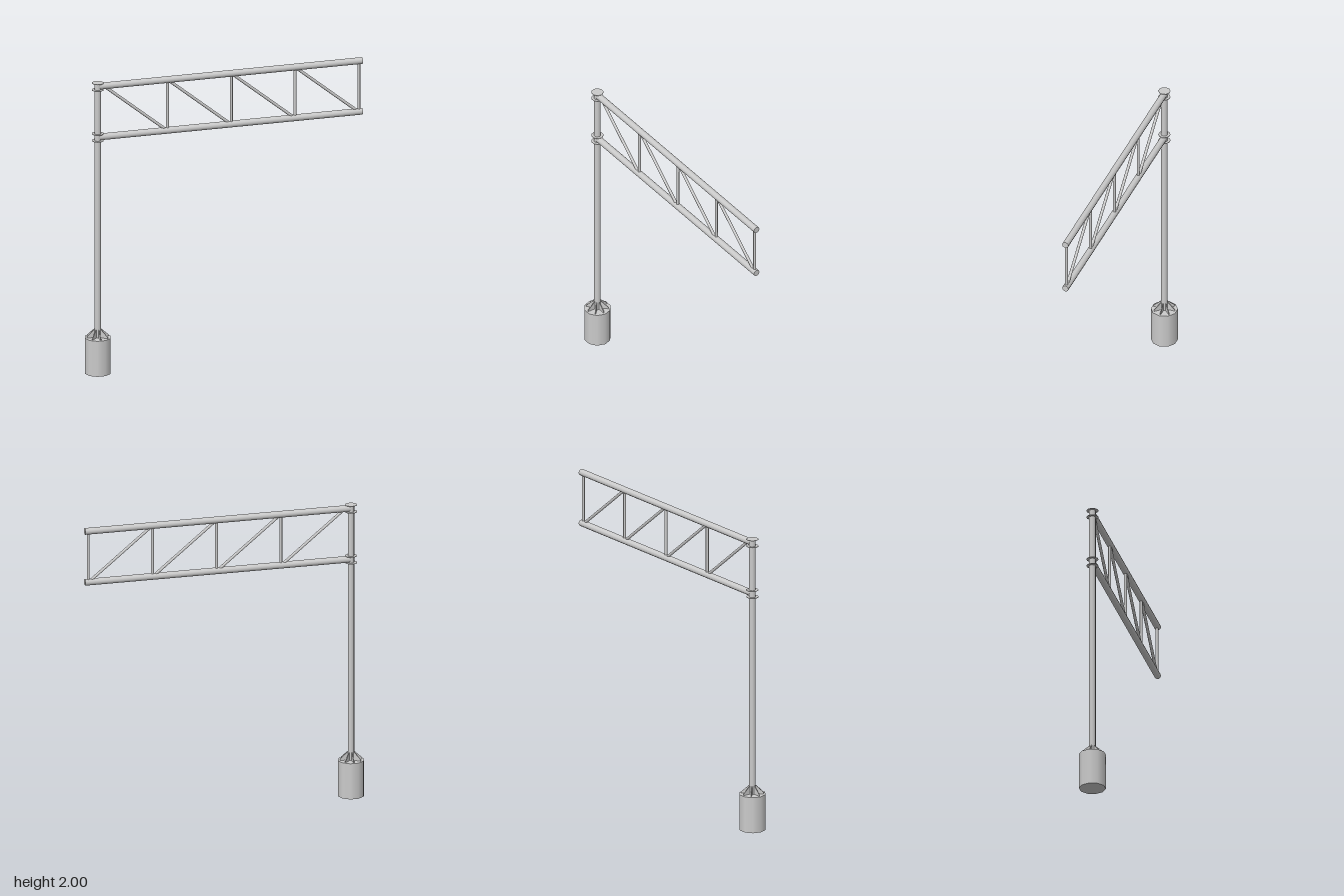
import * as THREE from 'three';

const material = new THREE.MeshStandardMaterial({ color: 0xcccccc });
const POLE_X = -0.857, TOP_Y = 1.975, LOW_Y = 1.625;

export function createModel() {
  const model = new THREE.Group();
  model.name = 'cantileverGantry';

  const add = (name, geometry, x = 0, y = 0, z = 0) => {
    const mesh = new THREE.Mesh(geometry, material);
    mesh.name = name;
    mesh.position.set(x, y, z);
    model.add(mesh);
    return mesh;
  };

  // Upright cylinder standing on y0, with a corner facing the arm
  const post = (name, radius, y0, y1, x = POLE_X, sides = 10) =>
    add(name, new THREE.CylinderGeometry(radius, radius, y1 - y0, sides, 1, false, Math.PI / 2), x, (y0 + y1) / 2);

  // Round bar between two points in the plane of the arm
  const bar = (name, radius, x0, y0, x1, y1, sides = 10) => {
    const dir = new THREE.Vector3(x1 - x0, y1 - y0, 0);
    const mesh = add(name, new THREE.CylinderGeometry(radius, radius, dir.length(), sides),
      (x0 + x1) / 2, (y0 + y1) / 2);
    mesh.quaternion.setFromUnitVectors(new THREE.Vector3(0, 1, 0), dir.normalize());
  };

  // Foundation and pole
  post('foundation', 0.088, 0, 0.245);
  post('pole', 0.022, 0.24, 1.998);

  // Eight gusset fins around the foot of the pole
  const finShape = new THREE.Shape([[0.015, 0], [0.074, 0], [0.074, 0.01], [0.024, 0.056], [0.015, 0.056]]
    .map(([x, y]) => new THREE.Vector2(x, y)));
  const finGeometry = new THREE.ExtrudeGeometry(finShape, { depth: 0.004, bevelEnabled: false });
  finGeometry.translate(0, 0, -0.002);
  for (let i = 0; i < 8; i++) {
    add('gussetFin', finGeometry, POLE_X, 0.245, 0).rotation.y = i * Math.PI / 4;
  }

  // Pairs of collar plates holding each chord
  for (const y of [TOP_Y, LOW_Y]) {
    for (const s of [-1, 1]) {
      const mid = y + s * 0.0235;
      post('collarPlate', 0.04, mid - 0.0015, mid + 0.0015);
    }
  }

  // Chords of the truss arm
  bar('upperChord', 0.022, -0.85, TOP_Y, 0.943, TOP_Y);
  bar('lowerChord', 0.022, -0.85, LOW_Y, 0.943, LOW_Y);

  // Web: four bays, each a falling diagonal and a vertical
  for (let i = 0; i < 4; i++) {
    const x = -0.382 + i * 0.434;
    post('webVertical', 0.01, LOW_Y, TOP_Y, x, 8);
    bar('webDiagonal', 0.01, x - 0.434, TOP_Y, x - 0.003, LOW_Y, 8);
  }

  return model;
}
